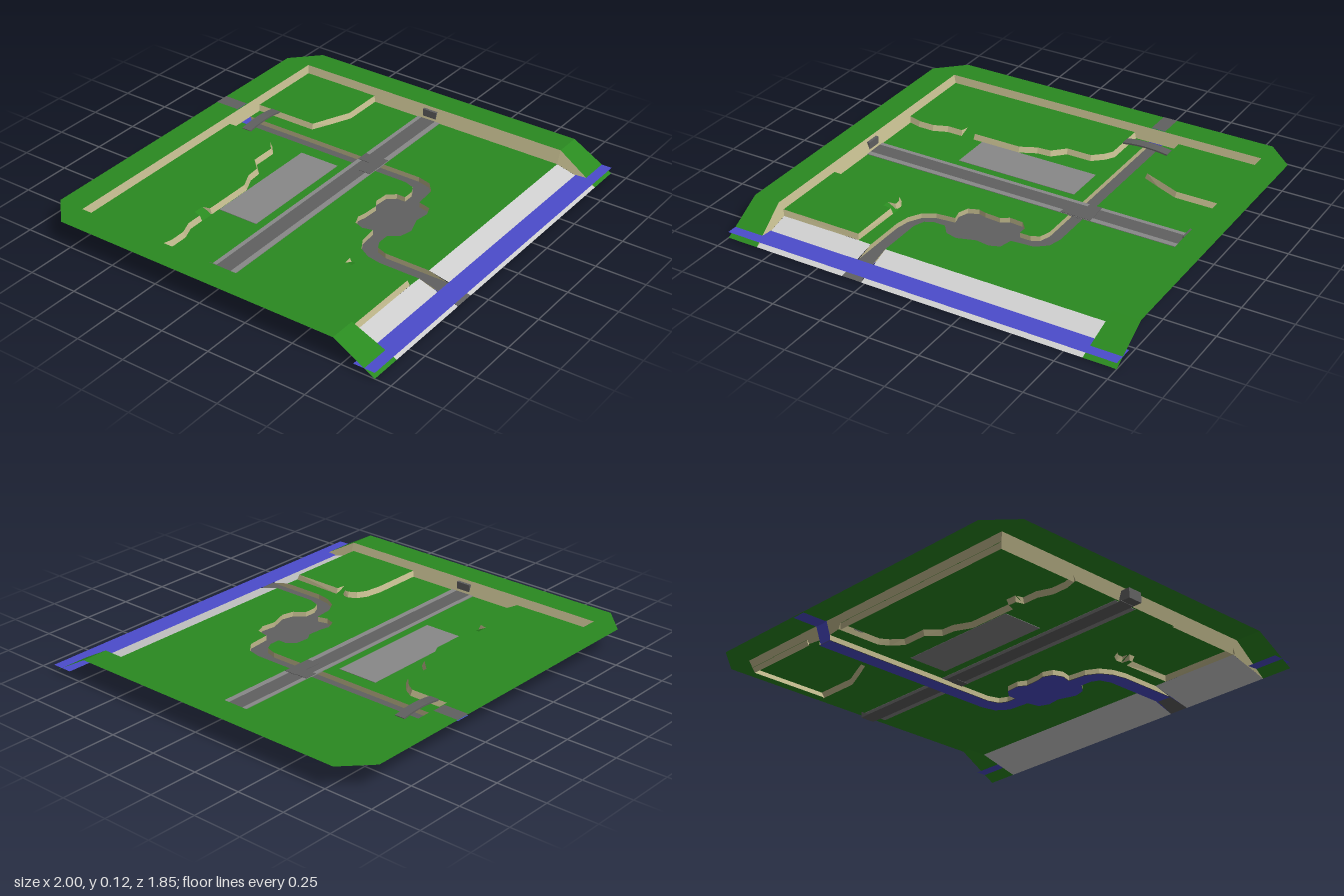
import * as THREE from 'three';

const mat = (name, color) => new THREE.MeshStandardMaterial({ name, color, side: THREE.DoubleSide });
const grass = mat('grass green', 0x2a8a20);
const cliff = mat('cliff tan', 0xc0b88c);
const asphalt = mat('dark grey', 0x606060);
const paving = mat('paving grey', 0x888888);
const sand = mat('pale beach', 0xd0d0d0);
const water = mat('water blue', 0x4c4ccc);

const FLOOR = 0.055, TERRACE = 0.082, RIM = 0.12, BED = 0.03, SEA = 0.029;

export function createModel() {
  const root = new THREE.Group();
  const add = (name, geo, material) => {
    const m = new THREE.Mesh(geo, material);
    m.name = name;
    root.add(m);
    return m;
  };

  // Flat surface from an [x, z] outline at height y
  const flat = (name, pts, y, material) => {
    const geo = new THREE.ShapeGeometry(new THREE.Shape(pts.map(([x, z]) => new THREE.Vector2(x, -z))));
    geo.rotateX(-Math.PI / 2).translate(0, y, 0);
    return add(name, geo, material);
  };
  const rect = (x0, x1, z0, z1) => [[x0, z0], [x0, z1], [x1, z1], [x1, z0]];

  // Faceted strip between two rows of [x, y, z] points
  const strip = (name, top, bottom, material) => {
    const v = [];
    for (let i = 0; i < top.length - 1; i++) {
      v.push(...top[i], ...bottom[i], ...bottom[i + 1], ...top[i], ...bottom[i + 1], ...top[i + 1]);
    }
    const geo = new THREE.BufferGeometry();
    geo.setAttribute('position', new THREE.Float32BufferAttribute(v, 3));
    geo.computeVertexNormals();
    return add(name, geo, material);
  };
  const box = (name, x0, x1, y0, y1, z0, z1, material) =>
    add(name, new THREE.BoxGeometry(x1 - x0, y1 - y0, z1 - z0)
      .translate((x0 + x1) / 2, (y0 + y1) / 2, (z0 + z1) / 2), material);
  const lift = (pts, y) => pts.map(([x, z]) => [x, y, z]);

  // Foot of a sloping cliff: its top line pushed outward
  const foot = (pts, d = 0.011) => pts.map(([x, z], i) => {
    const a = pts[Math.max(i - 1, 0)], b = pts[Math.min(i + 1, pts.length - 1)];
    const dx = b[0] - a[0], dz = b[1] - a[1], l = Math.hypot(dx, dz);
    return [x - dz / l * d, z + dx / l * d];
  });

  // Cliff lines of the three terraces
  const backLeft = [[-0.85, -0.355], [-0.78, -0.335], [-0.7, -0.335], [-0.63, -0.362], [-0.55, -0.362],
    [-0.54, -0.4], [-0.485, -0.4], [-0.475, -0.362], [-0.22, -0.362], [-0.14, -0.4], [-0.07, -0.405],
    [-0.01, -0.465], [0.12, -0.465], [0.17, -0.51], [0.195, -0.55], [0.195, -0.78]];
  const backRight = [[0.435, -0.78], [0.435, -0.445], [0.52, -0.41], [0.63, -0.362], [0.85, -0.362]];
  const frontLeft = [[-0.85, 0.698], [-0.432, 0.698], [-0.432, 0.44], [-0.475, 0.435], [-0.475, 0.4],
    [-0.435, 0.395], [-0.435, 0.37], [-0.455, 0.335], [-0.5, 0.31], [-0.58, 0.298], [-0.85, 0.298]];
  const terraces = [['backLeftTerrace', backLeft, [[-0.85, -0.78]]],
    ['backRightTerrace', backRight, [[0.85, -0.78]]], ['frontLeftTerrace', frontLeft, []]];
  for (const [name, line, corner] of terraces) {
    flat(name, [...line, ...corner], TERRACE, grass);
    strip(name + 'Cliff', lift(line, TERRACE), lift(foot(line), FLOOR), cliff);
  }

  // Ramps up to the terraces
  strip('backRamp', [[-0.545, TERRACE, -0.4], [-0.48, TERRACE, -0.4]],
    [[-0.545, FLOOR, -0.35], [-0.48, FLOOR, -0.35]], grass);
  strip('frontRamp', [[-0.475, TERRACE, 0.395], [-0.475, TERRACE, 0.44]],
    [[-0.42, FLOOR, 0.395], [-0.42, FLOOR, 0.44]], grass);

  // River banks, from the waterfall through the pool to the beach
  const westBank = [[0.278, -0.77], [0.278, 0.21], [0.26, 0.265], [0.22, 0.285], [0.165, 0.285],
    [0.165, 0.24], [0.13, 0.2], [0.06, 0.195], [0.02, 0.22], [-0.06, 0.215], [-0.1, 0.205], [-0.15, 0.225],
    [-0.168, 0.275], [-0.155, 0.325], [-0.25, 0.335], [-0.31, 0.37], [-0.345, 0.43], [-0.358, 0.5], [-0.358, 0.71]];
  const eastBank = [[0.352, -0.77], [0.352, 0.24], [0.335, 0.31], [0.28, 0.355], [0.165, 0.365],
    [0.15, 0.43], [0.1, 0.45], [0.03, 0.44], [-0.06, 0.47], [-0.12, 0.455], [-0.16, 0.405],
    [-0.22, 0.405], [-0.26, 0.425], [-0.28, 0.48], [-0.28, 0.71]];
  const river = [...westBank, [-0.358, 0.81], [-0.28, 0.81], ...[...eastBank].reverse()];
  flat('riverBed', river, BED, asphalt);
  flat('riverUnderside', river, BED - 0.003, water);
  for (const [name, bank] of [['westBank', westBank], ['eastBank', eastBank]]) {
    const end = bank[bank.length - 1];
    strip(name, [...lift(bank, FLOOR), [end[0], BED, 0.81]], [...lift(bank, BED), [end[0], BED, 0.81]], cliff);
  }
  strip('riverMouth', [[-0.358, BED, 0.81], [-0.28, BED, 0.81]], [[-0.37, 0.001, 0.92], [-0.268, 0.001, 0.92]], asphalt);

  // Valley floor on both sides of the river
  flat('westFloor', [...foot(backLeft), ...westBank, ...foot(frontLeft).slice(1)], FLOOR, grass);
  flat('eastFloor', [...foot(backRight), [0.84, 0.71], ...[...eastBank].reverse()], FLOOR, grass);

  // Raised rim with clipped back corners and front slopes
  flat('rim', [[-0.865, 0.71], [-1, 0.71], [-1, -0.795], [-0.865, -0.925], [0.865, -0.925], [1, -0.795],
    [1, 0.71], [0.865, 0.71], [0.865, -0.79], [-0.865, -0.79]], RIM, grass);
  for (const s of [-1, 1]) {
    strip('rimSlope', [[s * 0.865, RIM, 0.71], [s, RIM, 0.71]], [[s * 0.84, 0, 0.92], [s, 0, 0.92]], grass);
  }
  const rimTop = [[-0.84, 0, 0.92], [-0.865, RIM, 0.71], [-0.865, RIM, -0.79],
    [0.865, RIM, -0.79], [0.865, RIM, 0.71], [0.84, 0, 0.92]];
  const rimFoot = [[-0.84, 0, 0.92], [-0.84, FLOOR, 0.71], [-0.84, FLOOR, -0.77],
    [0.84, FLOOR, -0.77], [0.84, FLOOR, 0.71], [0.84, 0, 0.92]];
  strip('rimCliff', rimTop, rimFoot, cliff);

  // Stream on the rim and the waterfall
  flat('upperStream', rect(0.278, 0.352, -0.925, -0.795), RIM + 0.0015, asphalt);
  flat('upperStreamUnderside', rect(0.278, 0.352, -0.925, -0.79), RIM - 0.005, water);
  strip('waterfall', [[0.278, RIM + 0.001, -0.795], [0.352, RIM + 0.001, -0.795], ],
    [[0.278, BED, -0.763], [0.352, BED, -0.763]], water);

  // Beach and sea
  for (const [x0, x1, b0, b1] of [[-0.84, -0.358, -0.84, -0.37], [-0.28, 0.84, -0.268, 0.84]]) {
    strip('beach', [[x0, FLOOR, 0.708], [x1, FLOOR, 0.708]], [[b0, 0, 0.92], [b1, 0, 0.92]], sand);
  }
  flat('sea', rect(-1, 1, 0.812, 0.92), SEA + 0.0015, water);

  // Road, pavements, tunnels and plaza
  box('road', -0.86, 0.86, FLOOR - 0.002, FLOOR + 0.003, -0.07, 0.01, asphalt);
  box('backPavement', -0.845, 0.845, FLOOR - 0.002, FLOOR + 0.003, -0.092, -0.07, paving);
  box('frontPavement', -0.845, 0.845, FLOOR - 0.002, FLOOR + 0.003, 0.01, 0.038, paving);
  box('roadBridge', 0.235, 0.39, FLOOR - 0.004, FLOOR + 0.005, -0.03, 0.036, asphalt);
  box('roadBridgeBack', 0.32, 0.385, FLOOR - 0.004, FLOOR + 0.005, -0.09, -0.03, asphalt);
  for (const s of [-1, 1]) {
    box('tunnel', s * 0.875 - 0.03, s * 0.875 + 0.03, FLOOR, 0.105, -0.065, 0.012, asphalt);
  }
  box('plaza', -0.425, 0.21, FLOOR - 0.002, FLOOR + 0.002, -0.348, -0.135, paving);

  // Arched footbridge between the back terraces
  const arch = new THREE.Shape();
  arch.moveTo(0.195, 0.077);
  arch.quadraticCurveTo(0.315, 0.098, 0.435, 0.077);
  arch.lineTo(0.435, 0.085);
  arch.quadraticCurveTo(0.315, 0.106, 0.195, 0.085);
  add('footbridge', new THREE.ExtrudeGeometry(arch, { depth: 0.05, bevelEnabled: false, curveSegments: 6 })
    .translate(0, 0, -0.7), asphalt);

  return root;
}
